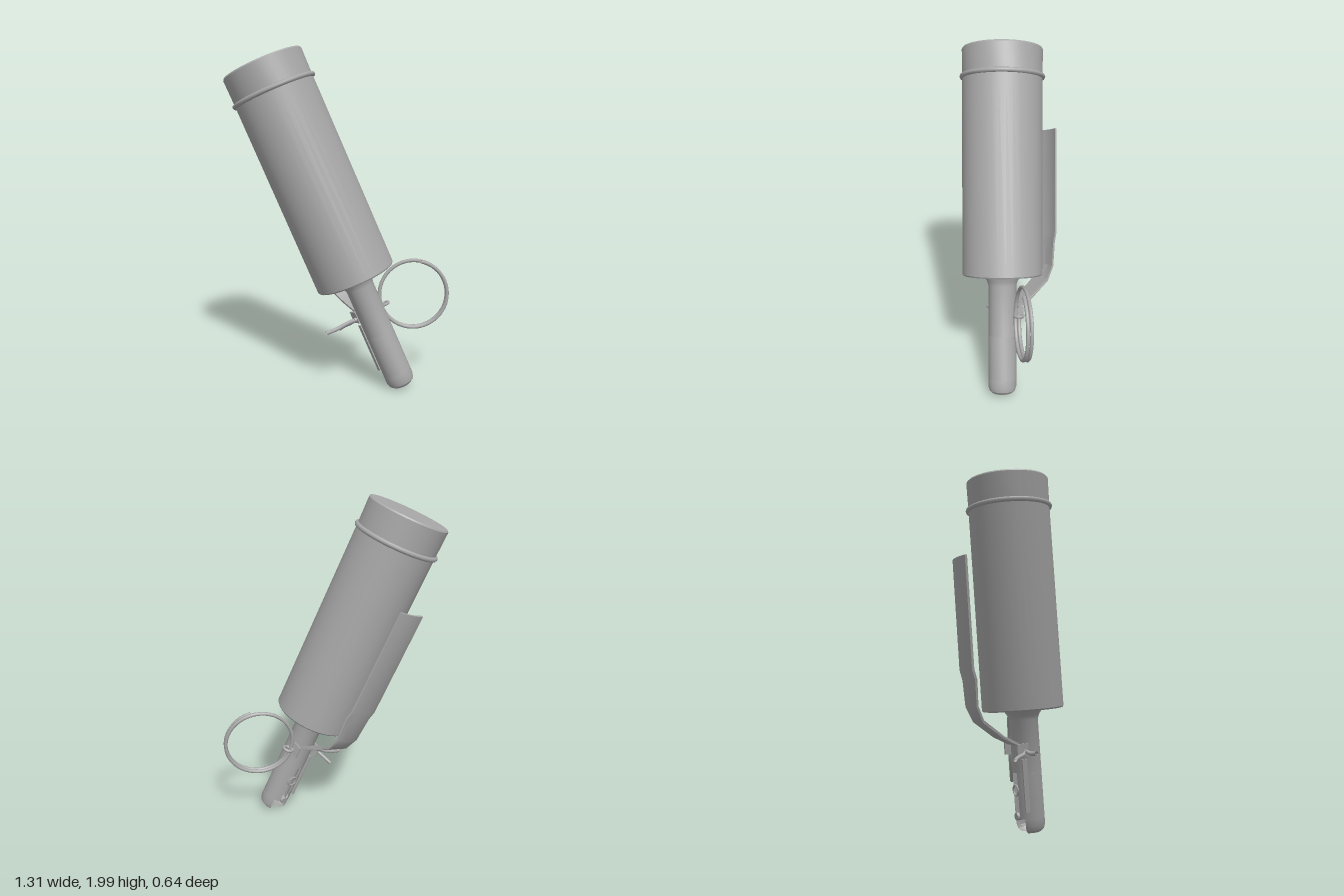
import * as THREE from 'three';
import { toCreasedNormals } from 'three/addons/utils/BufferGeometryUtils.js';

const steel = new THREE.MeshStandardMaterial({ color: 0xa8a8a8, side: THREE.DoubleSide });
steel.name = 'grey steel';

const V = (x, y, z) => new THREE.Vector3(x, y, z);

function add(parent, name, geometry, x = 0, y = 0, z = 0) {
  const mesh = new THREE.Mesh(geometry, steel);
  mesh.name = name;
  mesh.position.set(x, y, z);
  parent.add(mesh);
  return mesh;
}

// Turned part from [radius, height] pairs; gap is the half angle left open at the back
function turned(points, sides, gap = 0) {
  const profile = points.map(([r, y]) => new THREE.Vector2(r, y));
  return toCreasedNormals(
    new THREE.LatheGeometry(profile, sides, Math.PI + gap, 2 * Math.PI - 2 * gap), 0.5);
}

function wire(points, radius, segments = 24) {
  return new THREE.TubeGeometry(new THREE.CatmullRomCurve3(points), segments, radius, 8);
}

// Bent sheet-metal lever: side outline with thickness, swept across its width
function leverGeometry() {
  const path = [[0.355, 0.885], [0.357, 0.25], [0.343, 0.19], [0.34, 0.04],
    [0.29, -0.05], [0.17, -0.15], [0.08, -0.2]];
  const t = 0.014;
  const outline = new THREE.Shape();
  path.forEach(([z, y], i) => (i ? outline.lineTo(z, y) : outline.moveTo(z, y)));
  [...path].reverse().forEach(([z, y], i) => {
    const k = Math.min(1, Math.max(0, (0.1 - y) / 0.15));
    outline.lineTo(z - t * (1 - 0.5 * k), y + t * k);
  });
  const geo = new THREE.ExtrudeGeometry(outline, { depth: 1, steps: 6, bevelEnabled: false });
  const p = geo.attributes.position;
  for (let i = 0; i < p.count; i++) {
    const y = p.getY(i);
    const across = p.getZ(i) * 2 - 1;
    const half = THREE.MathUtils.lerp(0.065, 0.09, THREE.MathUtils.smoothstep(y, -0.15, 0.2));
    const bow = y > -0.02 ? 0.014 * across * across : 0;
    p.setXYZ(i, across * half, y, -p.getX(i) + bow);
  }
  return toCreasedNormals(geo, 0.5);
}

export function createModel() {
  const root = new THREE.Group();
  root.name = 'model';

  // Tilted assembly: local y runs along the body, the lever sits on local -z
  const tilted = new THREE.Group();
  tilted.name = 'tiltedAssembly';
  const axis = V(-0.395, 0.916, -0.071).normalize();
  const front = V(0.83, 0.33, -0.44).cross(axis).normalize();
  const side = axis.clone().cross(front);
  tilted.quaternion.setFromRotationMatrix(new THREE.Matrix4().makeBasis(side, axis, front));
  tilted.position.set(0.09, 0.675, 0.095);
  root.add(tilted);

  // Body and cap with the bead between them
  add(tilted, 'body', turned([[0, 0], [0.232, 0], [0.238, 0.008], [0.238, 1.175]], 36));
  add(tilted, 'cap', turned([[0.238, 1.175], [0.24, 1.335], [0.234, 1.343], [0, 1.343]], 36));
  const bead = add(tilted, 'bead', new THREE.TorusGeometry(0.24, 0.014, 8, 48), 0, 1.175, 0);
  bead.rotation.x = Math.PI / 2;

  // Stem: solid neck, slotted tube and open rounded tip
  add(tilted, 'neck', turned([[0, -0.36], [0.084, -0.36], [0.084, -0.06], [0.092, -0.035], [0.115, 0]], 24));
  add(tilted, 'slottedTube', turned([[0.066, -0.62], [0.084, -0.62], [0.084, -0.36], [0.066, -0.36], [0.066, -0.62]], 24, 0.32));
  add(tilted, 'tip', turned([[0, -0.705], [0.058, -0.705], [0.076, -0.69], [0.084, -0.665], [0.084, -0.62],
    [0.066, -0.62], [0.062, -0.67], [0, -0.685]], 20, 0.75));
  add(tilted, 'slotLip', new THREE.BoxGeometry(0.012, 0.3, 0.03), -0.076, -0.43, -0.052);

  // Striker inside the slot and the rim of the hole above it
  const striker = add(tilted, 'striker', new THREE.CylinderGeometry(0.022, 0.022, 0.1, 14), 0, -0.61, -0.04);
  striker.rotation.x = Math.PI / 2;
  add(tilted, 'strikerBlock', new THREE.BoxGeometry(0.06, 0.14, 0.05), 0, -0.56, 0);
  add(tilted, 'holeRim', new THREE.TorusGeometry(0.03, 0.006, 6, 20), 0, -0.46, -0.08);

  // Lever with two ears that hug the stem
  add(tilted, 'lever', leverGeometry());
  for (const s of [-1, 1]) {
    add(tilted, 'leverEar', new THREE.BoxGeometry(0.012, 0.07, 0.07), s * 0.08, -0.225, -0.06);
  }

  // Split pin: shaft, eye and two splayed legs
  const pinY = -0.235, pinZ = -0.045;
  const shaft = add(tilted, 'pinShaft', new THREE.CylinderGeometry(0.013, 0.013, 0.2, 10), 0, pinY, pinZ);
  shaft.rotation.z = Math.PI / 2;
  const eye = add(tilted, 'pinEye', new THREE.TorusGeometry(0.026, 0.009, 8, 20), 0.118, pinY, pinZ + 0.01);
  eye.rotation.x = Math.PI / 2;
  add(tilted, 'pinLegLong', wire([V(-0.09, pinY, pinZ), V(-0.14, pinY + 0.002, pinZ - 0.015),
    V(-0.21, pinY, -0.075), V(-0.28, pinY + 0.008, -0.08)], 0.012));
  add(tilted, 'pinLegShort', wire([V(-0.09, pinY, pinZ), V(-0.12, pinY - 0.01, pinZ - 0.03),
    V(-0.145, pinY - 0.02, pinZ - 0.08), V(-0.165, pinY - 0.03, pinZ - 0.11)], 0.011));

  // Split ring: a flat coil of a little over one and a half turns
  const coil = [];
  for (let i = 0; i <= 80; i++) {
    const u = i / 80;
    const a = 1.35 - u * Math.PI * 3.3;
    coil.push(V(0.203 * Math.cos(a), 0.203 * Math.sin(a), 0.018 - 0.036 * u));
  }
  const ring = add(root, 'pullRing', wire(coil, 0.011, 120), 0.44, 0.553, 0.035);
  ring.rotation.x = -0.07;

  return root;
}
